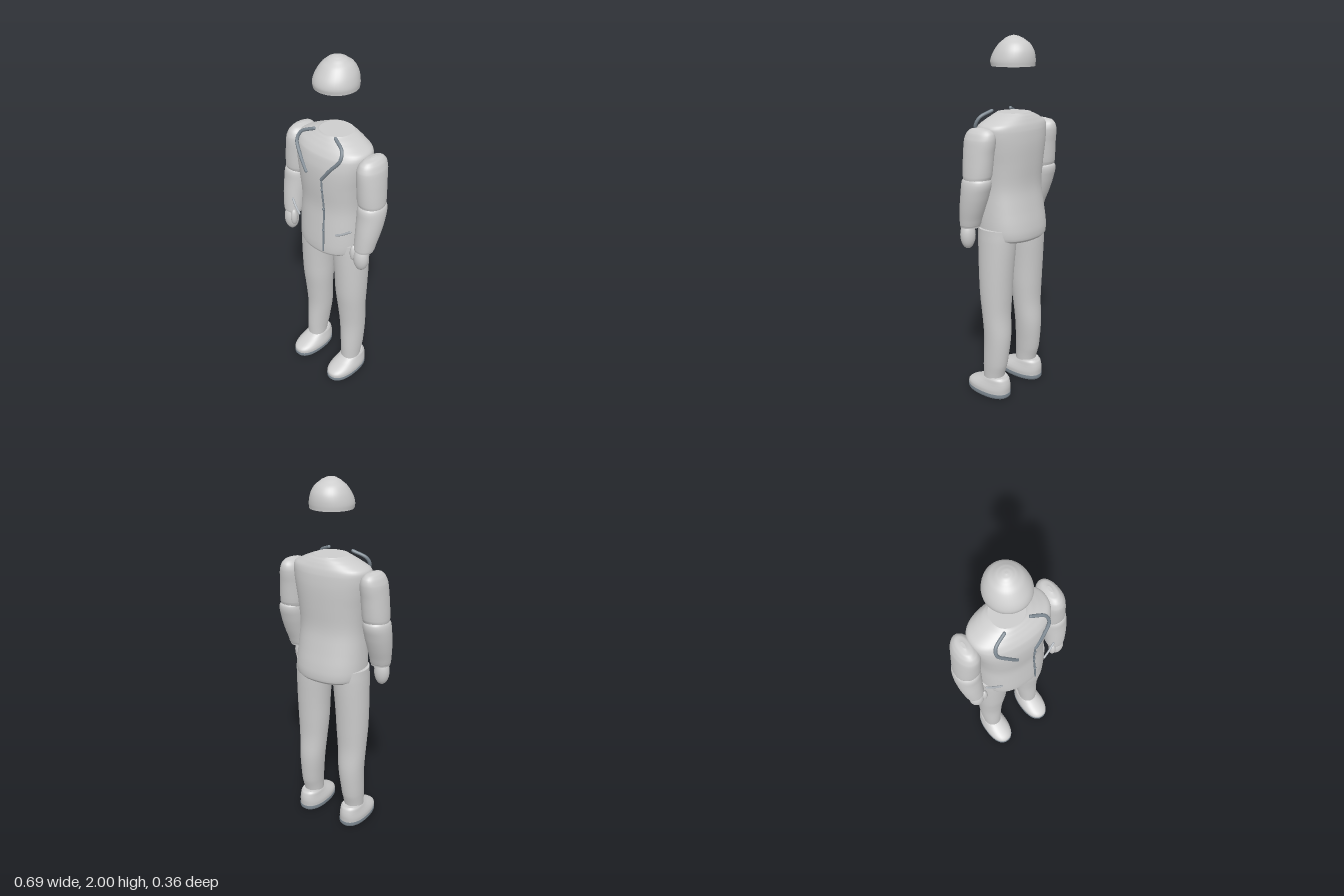
import * as THREE from 'three';

const cloth = new THREE.MeshStandardMaterial({ color: 0xcccccc });
cloth.name = 'light grey';
const trim = new THREE.MeshStandardMaterial({ color: 0x7c8790 });
trim.name = 'slate trim';
const pocketGrey = new THREE.MeshStandardMaterial({ color: 0xaeb3b8 });
pocketGrey.name = 'mid grey';

// Catmull-Rom blend of one column of the section rows
function blend(a, b, c, d, t) {
  const m0 = (c - a) / 2, m1 = (d - b) / 2;
  return (2 * t ** 3 - 3 * t * t + 1) * b + (t ** 3 - 2 * t * t + t) * m0
    + (3 * t * t - 2 * t ** 3) * c + (t ** 3 - t * t) * m1;
}

// Smooth capped loft; rows run upward as [y, centre x, half width, front z, back z]
function loft(rows, power = 2, side = 1, steps = 4, seg = 36) {
  const rings = [];
  const n = rows.length;
  for (let i = 0; i < n - 1; i++) {
    for (let k = 0; k < steps; k++) {
      rings.push(rows[i].map((v, c) => c === 0
        ? v + (rows[i + 1][0] - v) * k / steps
        : blend(rows[Math.max(i - 1, 0)][c], v, rows[i + 1][c], rows[Math.min(i + 2, n - 1)][c], k / steps)));
    }
  }
  rings.push(rows[n - 1]);
  const pos = [], index = [];
  const pushRing = ([y, cx, hw, zf, zb]) => {
    for (let j = 0; j < seg; j++) {
      const a = j / seg * Math.PI * 2, c = Math.cos(a), s = Math.sin(a);
      pos.push(cx * side + hw * Math.sign(c) * Math.abs(c) ** (2 / power), y,
        (zf + zb) / 2 + (zf - zb) / 2 * Math.sign(s) * Math.abs(s) ** (2 / power));
    }
  };
  rings.forEach(pushRing);
  for (let i = 0; i < rings.length - 1; i++) {
    for (let j = 0; j < seg; j++) {
      const a = i * seg + j, b = i * seg + (j + 1) % seg;
      index.push(a, a + seg, b, b, a + seg, b + seg);
    }
  }
  // flat end caps with their own vertices
  for (const [ring, up] of [[rings[0], false], [rings[rings.length - 1], true]]) {
    const base = pos.length / 3;
    pushRing(ring);
    pos.push(ring[1] * side, ring[0], (ring[3] + ring[4]) / 2);
    for (let j = 0; j < seg; j++) {
      const a = base + j, b = base + (j + 1) % seg;
      if (up) index.push(base + seg, b, a);
      else index.push(base + seg, a, b);
    }
  }
  const g = new THREE.BufferGeometry();
  g.setAttribute('position', new THREE.Float32BufferAttribute(pos, 3));
  g.setIndex(index);
  g.computeVertexNormals();
  return g;
}

function ball(x, y, z, rx, ry, rz) {
  return new THREE.SphereGeometry(1, 24, 16).scale(rx, ry, rz).translate(x, y, z);
}

// Round cord with rounded ends
function cord(parent, name, points, radius, material) {
  const pts = points.map(p => new THREE.Vector3(...p));
  add(parent, name, new THREE.TubeGeometry(new THREE.CatmullRomCurve3(pts), 32, radius, 10), material);
  for (const p of [points[0], points[points.length - 1]]) {
    add(parent, name + 'End', new THREE.SphereGeometry(radius, 10, 8).translate(...p), material);
  }
}

function add(parent, name, geometry, material) {
  const mesh = new THREE.Mesh(geometry, material);
  mesh.name = name;
  parent.add(mesh);
  return mesh;
}

const headCap = [
  [1.845, 0, 0.114, 0.097, -0.134], [1.87, 0, 0.116, 0.102, -0.137], [1.9, 0, 0.110, 0.094, -0.136],
  [1.93, 0, 0.098, 0.076, -0.128], [1.96, 0, 0.078, 0.052, -0.108], [1.985, 0, 0.048, 0.02, -0.073],
  [1.996, 0, 0.025, 0, -0.047], [2, 0, 0.003, -0.02, -0.026],
];
const jacket = [
  [0.93, 0, 0.175, 0.145, -0.165], [0.945, 0, 0.195, 0.15, -0.177], [1, 0, 0.2, 0.15, -0.177],
  [1.1, 0, 0.195, 0.143, -0.16], [1.22, 0, 0.188, 0.135, -0.142], [1.35, 0, 0.2, 0.144, -0.148],
  [1.45, 0, 0.217, 0.144, -0.152], [1.52, 0, 0.225, 0.13, -0.148], [1.553, 0, 0.216, 0.11, -0.14],
  [1.58, 0, 0.165, 0.088, -0.128], [1.597, 0, 0.125, 0.072, -0.118], [1.61, 0, 0.09, 0.06, -0.108],
];
const upperArm = [
  [1.265, 0.27, 0.045, 0.04, -0.05], [1.28, 0.268, 0.064, 0.064, -0.072], [1.31, 0.266, 0.07, 0.075, -0.084],
  [1.42, 0.259, 0.068, 0.079, -0.095], [1.49, 0.254, 0.063, 0.079, -0.105], [1.525, 0.253, 0.05, 0.066, -0.1],
  [1.545, 0.254, 0.032, 0.042, -0.08], [1.553, 0.255, 0.008, 0.0, -0.04],
];
const forearm = [
  [1.025, 0.27, 0.052, 0.1, -0.002], [1.04, 0.271, 0.056, 0.101, -0.008], [1.13, 0.275, 0.065, 0.094, -0.042],
  [1.22, 0.274, 0.072, 0.083, -0.073], [1.28, 0.272, 0.069, 0.077, -0.085], [1.31, 0.27, 0.047, 0.05, -0.06],
  [1.322, 0.27, 0.01, 0.01, -0.02],
];
const trouserLeg = [
  [0.11, 0.145, 0.055, 0.06, -0.062], [0.2, 0.144, 0.061, 0.06, -0.085], [0.36, 0.137, 0.072, 0.055, -0.1],
  [0.5, 0.134, 0.081, 0.066, -0.093], [0.62, 0.132, 0.089, 0.08, -0.098], [0.75, 0.13, 0.093, 0.087, -0.106],
  [0.93, 0.123, 0.098, 0.095, -0.118], [1, 0.12, 0.098, 0.095, -0.118],
];
const shoe = [
  [0.024, 0.145, 0.075, 0.176, -0.103], [0.045, 0.145, 0.076, 0.176, -0.105], [0.06, 0.145, 0.073, 0.16, -0.106],
  [0.075, 0.145, 0.068, 0.128, -0.105], [0.09, 0.145, 0.063, 0.092, -0.102], [0.108, 0.145, 0.058, 0.058, -0.096],
  [0.12, 0.145, 0.05, 0.04, -0.085],
];
const sole = [
  [0, 0.145, 0.073, 0.174, -0.101], [0.008, 0.145, 0.077, 0.179, -0.106], [0.026, 0.145, 0.077, 0.179, -0.106],
];

export function createModel() {
  const model = new THREE.Group();
  model.name = 'suitedFigure';

  add(model, 'headCap', loft(headCap), cloth);
  add(model, 'jacket', loft(jacket, 2.3, 1, 4, 56), cloth);

  // front closure with small buttons
  cord(model, 'frontSeam', [
    [0.053, 1.4, 0.144], [0.056, 1.3, 0.139], [0.06, 1.22, 0.134],
    [0.064, 1.1, 0.142], [0.068, 0.96, 0.15]], 0.005, trim);
  for (const [x, y, z] of [[0.055, 1.34, 0.143], [0.06, 1.22, 0.137], [0.064, 1.09, 0.145]]) {
    add(model, 'button', ball(x, y, z, 0.008, 0.008, 0.006), trim);
  }

  for (const s of [1, -1]) {
    const half = new THREE.Group();
    half.name = s > 0 ? 'leftSide' : 'rightSide';
    model.add(half);

    // arm
    add(half, 'upperArm', loft(upperArm, 2.1, s), cloth);
    add(half, 'forearm', loft(forearm, 2.1, s), cloth);
    add(half, 'hand', ball(s * 0.269, 0.975, 0.068, 0.043, 0.076, 0.04), cloth);
    add(half, 'thumb', ball(s * 0.23, 0.998, 0.085, 0.019, 0.05, 0.021), cloth);

    // leg and shoe
    add(half, 'trouserLeg', loft(trouserLeg, 2.1, s), cloth);
    add(half, 'shoe', loft(shoe, 2.3, s), cloth);
    add(half, 'sole', loft(sole, 2.3, s), trim);

    // lapel edge and pocket
    cord(half, 'lapel', [
      [s * 0.076, 1.615, 0.064], [s * 0.143, 1.583, 0.09], [s * 0.153, 1.54, 0.112],
      [s * 0.105, 1.475, 0.135], [s * 0.056, 1.408, 0.145]], 0.009, trim);
    cord(half, 'pocket', [
      [s * 0.14, 1.086, 0.125], [s * 0.175, 1.104, 0.115], [s * 0.218, 1.135, 0.1]], 0.006, pocketGrey);
  }
  return model;
}
